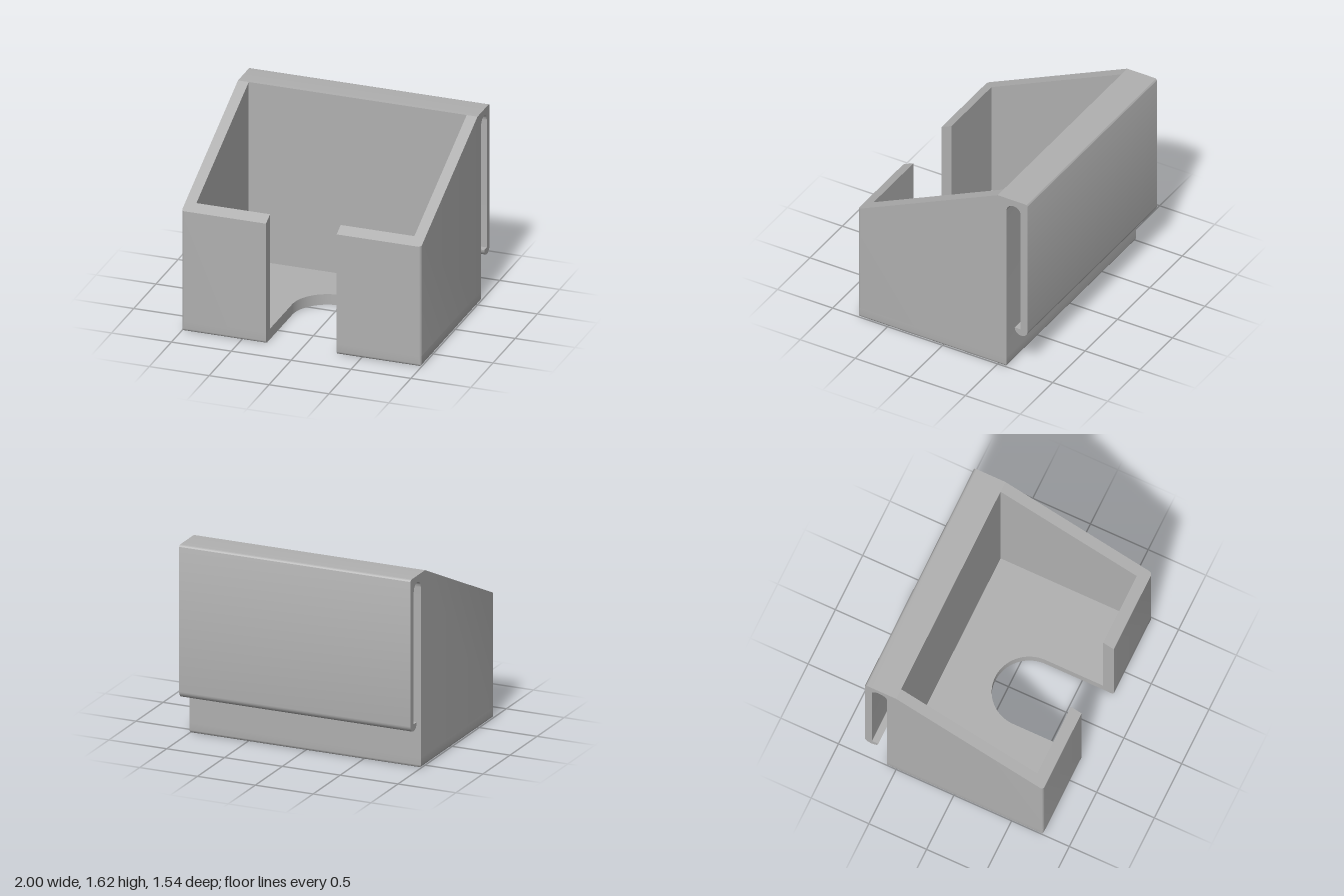
import * as THREE from 'three';
import { toCreasedNormals } from 'three/addons/utils/BufferGeometryUtils.js';

const W = 1, INNER_X = 0.91;                   // half widths, outside and inside
const FRONT = 0.772, INNER_FRONT = 0.68;       // front wall
const INNER_BACK = -0.5, BACK = -0.58, HOOK_BACK = -0.772;
const FLOOR = 0.09, TOP = 1.615, FRONT_TOP = 1.03;
const SLOT = 0.295, SLOT_Z = 0.18, R = 0.025;  // slot half width, edge radius

const rimHeight = (z) => FRONT_TOP + (TOP - FRONT_TOP) * (FRONT - z) / (FRONT - INNER_BACK);

// Extrude a floor-plan shape (x, -z) upwards
function extrudeUp(shape, depth, steps) {
  const geo = new THREE.ExtrudeGeometry(shape, { depth, steps, bevelEnabled: false, curveSegments: 24 });
  return geo.rotateX(-Math.PI / 2);
}

// Floor with a round-ended slot; the lower outer edges are rounded
function floorGeometry() {
  const s = new THREE.Shape();
  s.moveTo(-W, -BACK);
  s.lineTo(-W, -FRONT + R);
  s.absarc(-W + R, -FRONT + R, R, Math.PI, Math.PI * 1.5, false);
  s.lineTo(-SLOT, -FRONT);
  s.lineTo(-SLOT, -SLOT_Z);
  s.absarc(0, -SLOT_Z, SLOT, Math.PI, 0, true);
  s.lineTo(SLOT, -FRONT);
  s.absarc(W - R, -FRONT + R, R, -Math.PI / 2, 0, false);
  s.lineTo(W, -BACK);
  const steps = 6, geo = extrudeUp(s, steps, steps);
  const p = geo.attributes.position;
  for (let i = 0; i < p.count; i++) {
    const layer = Math.round(p.getY(i));
    const a = Math.min(layer / (steps - 1), 1) * Math.PI / 2;
    const inset = R * (1 - Math.sin(a));
    p.setXYZ(i,
      THREE.MathUtils.clamp(p.getX(i), -W + inset, W - inset),
      layer === steps ? FLOOR : R * (1 - Math.cos(a)),
      THREE.MathUtils.clamp(p.getZ(i), BACK + inset, FRONT - inset));
  }
  return geo;
}

// L-shaped wall: one side plus its half of the front, cut off along the sloping rim
function wallGeometry(side) {
  const s = new THREE.Shape();
  s.moveTo(side * INNER_X, -INNER_BACK);
  s.lineTo(side * W, -INNER_BACK);
  for (let i = 0; i <= 6; i++) {
    const a = i / 6 * Math.PI / 2;
    s.lineTo(side * (W - R + R * Math.cos(a)), -(FRONT - R + R * Math.sin(a)));
  }
  s.lineTo(side * SLOT, -FRONT);
  s.lineTo(side * SLOT, -INNER_FRONT);
  s.lineTo(side * INNER_X, -INNER_FRONT);
  const geo = extrudeUp(s, 1, 1), p = geo.attributes.position;
  for (let i = 0; i < p.count; i++) p.setY(i, p.getY(i) > 0.5 ? rimHeight(p.getZ(i)) : FLOOR);
  return geo;
}

// Back wall that folds over into the hanging clip, as a side profile (z, y)
function backGeometry() {
  const s = new THREE.Shape();
  const lip = 0.0585, lipY = 0.405, gap = 0.065;
  s.moveTo(INNER_BACK, FLOOR);
  s.lineTo(INNER_BACK, TOP);
  s.lineTo(HOOK_BACK + R, TOP);
  s.absarc(HOOK_BACK + R, TOP - R, R, Math.PI / 2, Math.PI, false);
  s.lineTo(HOOK_BACK, lipY);
  s.absarc(HOOK_BACK + lip, lipY, lip, Math.PI, Math.PI * 2, false);
  s.lineTo(BACK - 2 * gap, lipY);
  s.lineTo(BACK - 2 * gap, 1.495);
  s.absarc(BACK - gap, 1.495, gap, Math.PI, 0, true);
  s.lineTo(BACK, FLOOR);
  const geo = new THREE.ExtrudeGeometry(s, { depth: 2 * W, bevelEnabled: false, curveSegments: 20 });
  return geo.rotateY(-Math.PI / 2).translate(W, 0, 0);
}

export function createModel() {
  const group = new THREE.Group();
  group.name = 'clipOnHolder';
  const grey = new THREE.MeshStandardMaterial({ color: 0xb0b0b0 });
  grey.name = 'grey plastic';

  const add = (name, geo) => {
    geo.computeVertexNormals();
    const mesh = new THREE.Mesh(toCreasedNormals(geo, 0.6), grey);
    mesh.name = name;
    group.add(mesh);
  };
  add('floor', floorGeometry());
  add('leftWall', wallGeometry(1));
  add('rightWall', wallGeometry(-1));
  add('backWallAndClip', backGeometry());
  return group;
}
